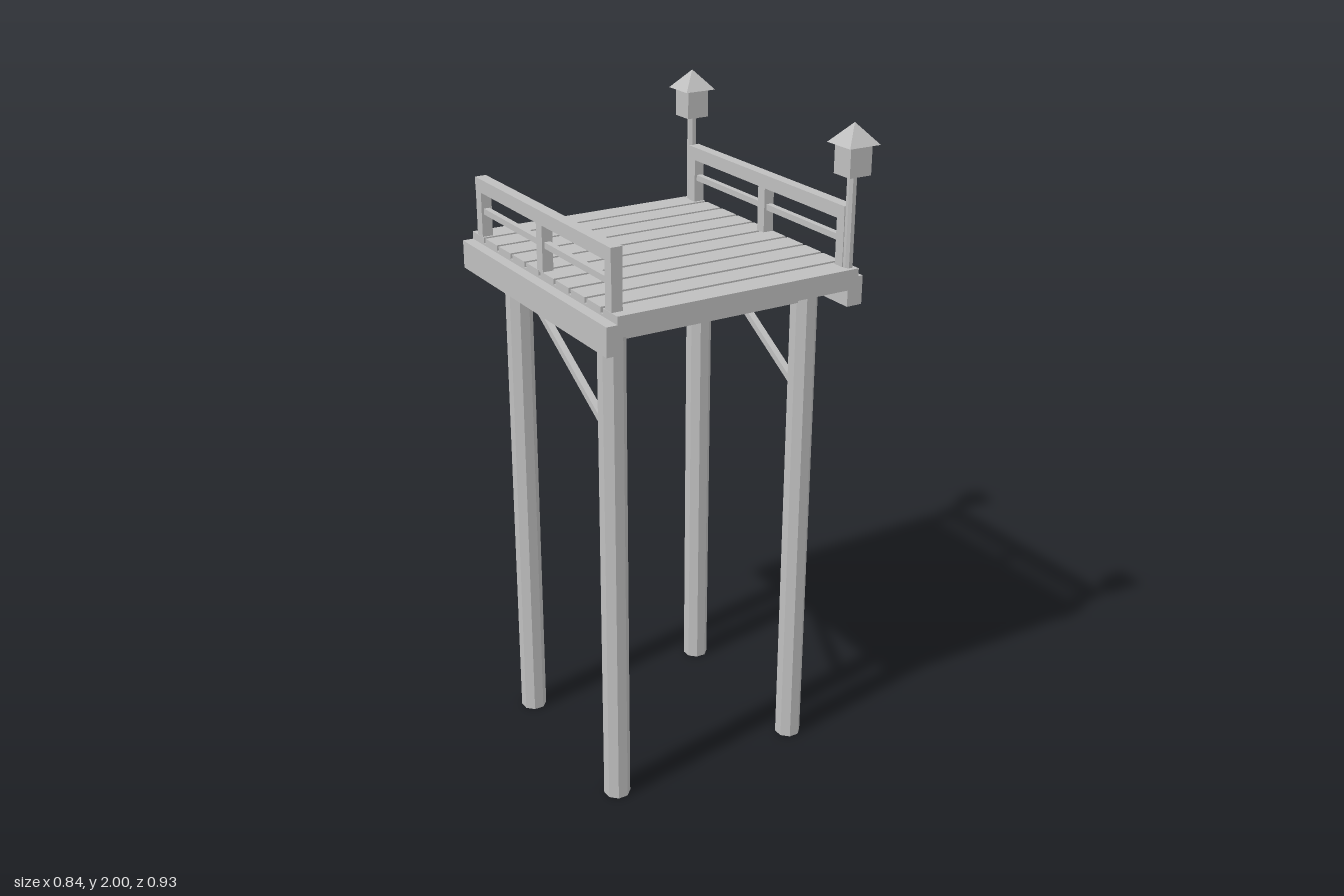
import * as THREE from 'three';

export function createModel() {
  const model = new THREE.Group();
  model.name = 'watchPlatform';
  const wood = new THREE.MeshStandardMaterial({ color: 0xbfbfbf });
  wood.name = 'pale grey';

  const add = (name, geometry, x, y, z, parent = model) => {
    const mesh = new THREE.Mesh(geometry, wood);
    mesh.name = name;
    mesh.position.set(x, y, z);
    parent.add(mesh);
    return mesh;
  };
  // Box given by its low and high bounds on each axis
  const box = (name, x0, x1, y0, y1, z0, z1, parent) =>
    add(name, new THREE.BoxGeometry(x1 - x0, y1 - y0, z1 - z0),
      (x0 + x1) / 2, (y0 + y1) / 2, (z0 + z1) / 2, parent);
  // Faceted column or cone standing on y0
  const column = (name, rTop, rBottom, sides, turn, x, y0, y1, z, parent) => {
    const g = new THREE.CylinderGeometry(rTop, rBottom, y1 - y0, sides).toNonIndexed();
    g.rotateY(turn);
    g.computeVertexNormals();
    return add(name, g, x, (y0 + y1) / 2, z, parent);
  };

  // Four octagonal stilts
  for (const x of [-0.317, 0.315])
    for (const z of [-0.28, 0.28])
      column('stilt', 0.04, 0.04, 8, Math.PI / 8, x, 0, 1.535, z);

  // Cross beams between the stilts and a diagonal brace on each side
  for (const z of [-0.28, 0.28])
    box('crossBeam', -0.352, 0.35, 1.47, 1.52, z - 0.018, z + 0.018);
  for (const x of [-0.317, 0.315]) {
    const low = new THREE.Vector3(x, 1.193, 0.26);
    const high = new THREE.Vector3(x, 1.5, -0.265);
    const brace = add('brace', new THREE.BoxGeometry(0.02, 0.02, low.distanceTo(high)), 0, 0, 0);
    brace.position.copy(low).lerp(high, 0.5);
    brace.lookAt(high);
  }

  // Side beams, deck slab and planks
  box('sideBeam', -0.418, -0.37, 1.487, 1.571, -0.437, 0.435);
  box('sideBeam', 0.35, 0.4, 1.487, 1.571, -0.437, 0.435);
  box('deckSlab', -0.385, 0.385, 1.535, 1.578, -0.437, 0.435);
  const planks = 10, gap = 0.012;
  const pitch = (0.872 + gap) / planks;
  for (let i = 0; i < planks; i++) {
    const z = -0.437 + i * pitch;
    box('plank', -0.385, 0.385, 1.578, 1.594, z, z + pitch - gap);
  }

  // Railings on both sides
  for (const s of [-1, 1]) {
    const railing = new THREE.Group();
    railing.name = s < 0 ? 'rightRailing' : 'leftRailing';
    model.add(railing);
    const x = s * 0.3675;
    box('topRail', x - 0.0175, x + 0.0175, 1.728, 1.768, -0.403, 0.403, railing);
    box('middleRail', x - 0.009, x + 0.009, 1.661, 1.679, -0.385, 0.385, railing);
    for (const z of [-0.386, 0, 0.386])
      box('railPost', x - 0.0165, x + 0.0165, 1.59, 1.73, z - 0.017, z + 0.017, railing);
  }

  // Lanterns on poles at two corners
  for (const z of [-0.413, 0.409]) {
    const lantern = new THREE.Group();
    lantern.name = 'lantern';
    model.add(lantern);
    const x = 0.366;
    column('lanternPole', 0.014, 0.014, 8, Math.PI / 8, x, 1.57, 1.87, z, lantern);
    box('lanternBox', x - 0.036, x + 0.036, 1.857, 1.942, z - 0.036, z + 0.036, lantern);
    column('lanternRoof', 0, 0.0515 * Math.SQRT2, 4, Math.PI / 4, x, 1.942, 2, z, lantern);
  }
  return model;
}
